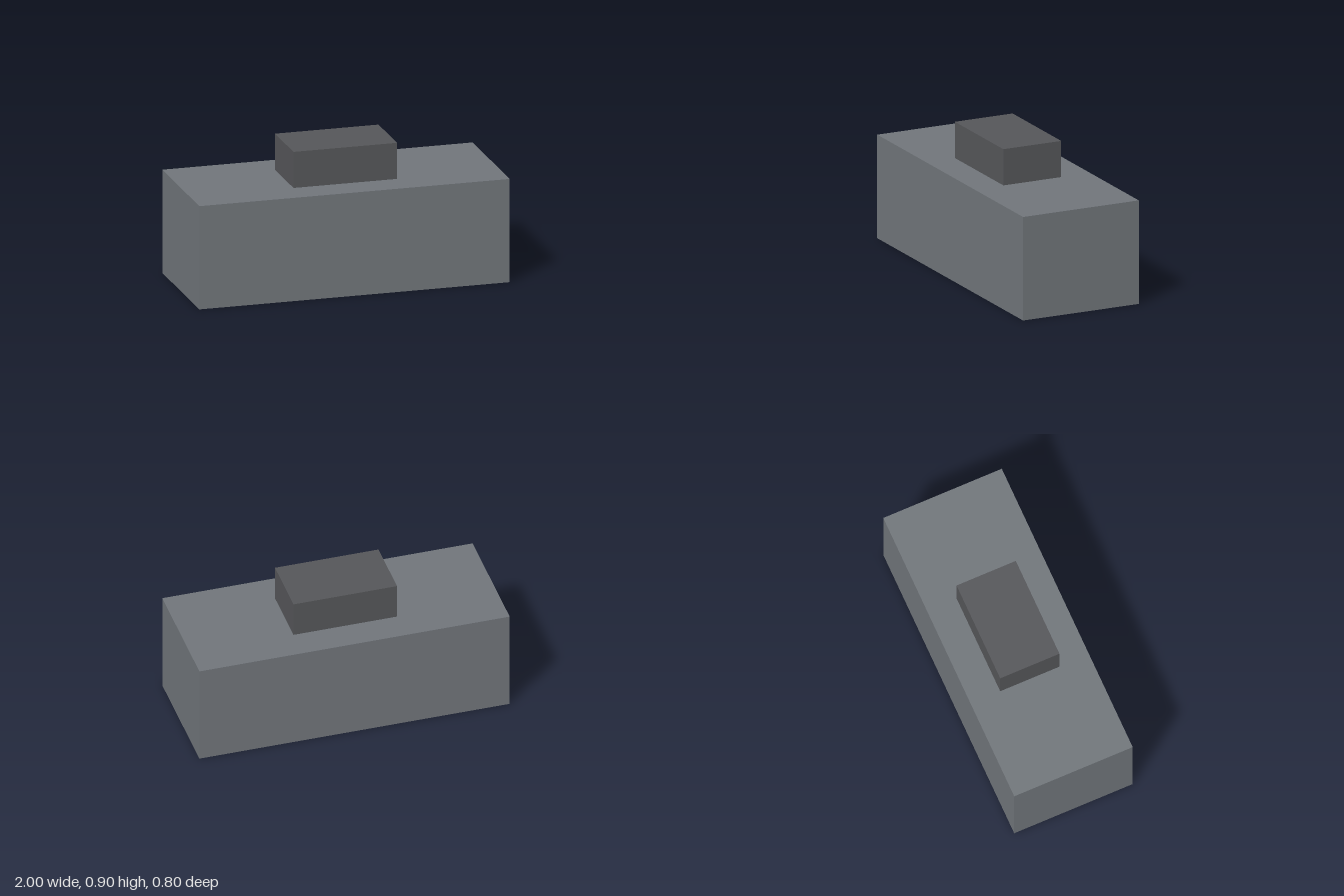
import * as THREE from 'three';

// Box standing on a given base height
function block(name, width, height, depth, baseY, color) {
  const mesh = new THREE.Mesh(
    new THREE.BoxGeometry(width, height, depth),
    new THREE.MeshStandardMaterial({ color })
  );
  mesh.name = name;
  mesh.position.y = baseY + height / 2;
  return mesh;
}

export function createModel() {
  const group = new THREE.Group();
  group.name = 'steppedBlock';

  const bodyHeight = 0.667;
  // Wide main body
  group.add(block('body', 2, bodyHeight, 0.8, 0, 0x70757a));
  // Smaller dark block centred on top
  group.add(block('topBlock', 0.667, 0.9 - bodyHeight, 0.4, bodyHeight, 0x555659));

  return group;
}
